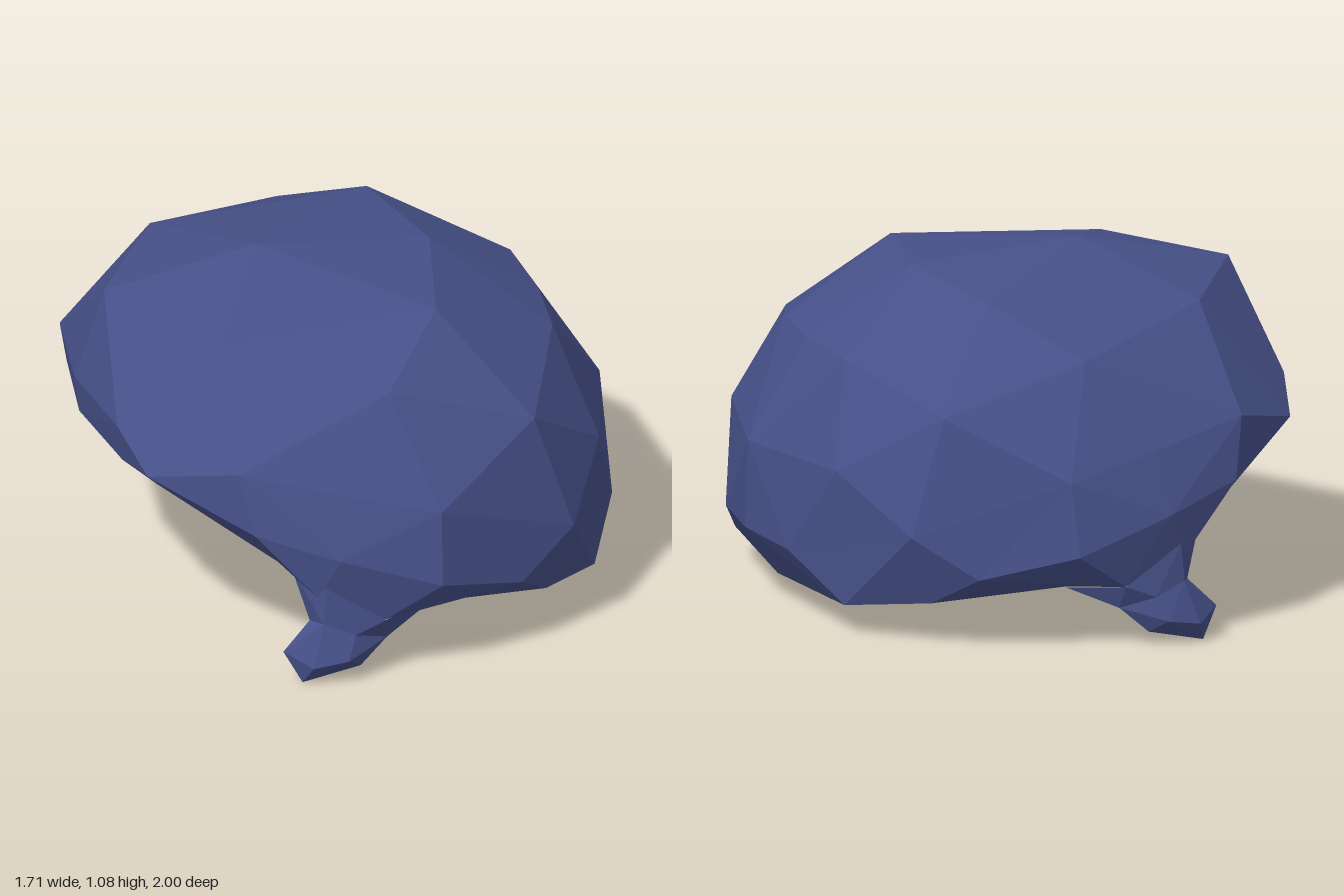
import * as THREE from 'three';

const navy = new THREE.MeshStandardMaterial({ color: 0x465088, flatShading: true });
navy.name = 'navy blue';

// Skin successive cross-sections; every quad is split along its outward diagonal,
// and the same faces are repeated on the other side of z = 0.
function loft(rings) {
  const out = [];
  const tri = (a, b, c) => {
    const n = b.clone().sub(a).cross(c.clone().sub(a));
    if (n.length() < 1e-6) return;
    out.push(...a, ...b, ...c);
    for (const p of [a, c, b]) out.push(p.x, p.y, -p.z);
  };
  const v = rings.map((ring) => ring.map((p) => new THREE.Vector3(...p)));
  for (let r = 0; r + 1 < v.length; r++) {
    for (let i = 0; i + 1 < v[r].length; i++) {
      const a = v[r][i], b = v[r][i + 1], c = v[r + 1][i + 1], d = v[r + 1][i];
      const n = b.clone().sub(a).cross(c.clone().sub(a));
      if (n.dot(d.clone().sub(a)) > 1e-7) {
        tri(a, b, d);
        tri(b, c, d);
      } else {
        tri(a, b, c);
        tri(a, c, d);
      }
    }
  }
  const geo = new THREE.BufferGeometry();
  geo.setAttribute('position', new THREE.Float32BufferAttribute(out, 3));
  geo.computeVertexNormals();
  return geo;
}

function part(name, geometry) {
  const mesh = new THREE.Mesh(geometry, navy);
  mesh.name = name;
  return mesh;
}

export function createModel() {
  const group = new THREE.Group();
  group.name = 'hairCap';

  // Half rings run from the brow (-x) round the side (+z) to the nape (+x)
  const rim = [[-0.84, 0.57, 0], [-0.79, 0.565, 0.37], [-0.72, 0.555, 0.55], [-0.4, 0.38, 0.83], [-0.29, 0.28, 0.92],
    [-0.08, 0.2, 0.95], [0.08, 0.185, 0.83], [0.49, 0.142, 0.73], [0.7, 0.1, 0.51], [0.74, 0.08, 0]];
  const widest = [[-0.855, 0.69, 0], [-0.81, 0.69, 0.38], [-0.76, 0.6, 0.58], [-0.48, 0.49, 0.86], [-0.23, 0.42, 0.96],
    [0.09, 0.32, 1], [0.38, 0.24, 0.87], [0.57, 0.37, 0.77], [0.81, 0.235, 0.29], [0.85, 0.24, 0]];

  // Shared corners of the faceted dome
  const brow = [-0.76, 0.98, 0], browSide = [-0.5, 0.97, 0.46], temple = [-0.52, 0.68, 0.8];
  const ear = [0.1, 0.55, 0.95], upperSide = [-0.02, 0.88, 0.74], backSide = [0.45, 0.74, 0.74];
  const crown = [-0.27, 1.085, 0], crownSide = [0.2, 1.02, 0.46], crownBack = [0.29, 1.045, 0];
  const middle = [brow, browSide, temple, temple, [-0.21, 0.615, 0.885], ear, ear, backSide, [0.72, 0.53, 0.49], [0.84, 0.52, 0]];
  const upper = [brow, browSide, browSide, browSide, upperSide, upperSide, backSide, backSide, [0.62, 0.835, 0.28], [0.64, 0.835, 0]];
  const top = [crown, crown, crown, crown, crownSide, crownSide, crownSide, crownSide, crownSide, crownBack];

  // Hollow underside: a lip at the nape, then facets rising to one point
  const nape = [...rim.slice(0, 8), [0.63, 0.09, 0.42], [0.65, 0.07, 0]];
  const lip = [...rim.slice(0, 7), [0.46, 0.15, 0.68], [0.54, 0.13, 0.33], [0.58, 0.13, 0]];
  const ceiling = rim.map(() => [0.08, 0.72, 0]);

  group.add(part('underside', loft([ceiling, lip, nape, rim])));
  group.add(part('outerShell', loft([rim, widest, middle, upper, top, rim.map(() => crown)])));

  // Sideburns: five-sided sections from tip to root
  const sections = [
    Array(5).fill([-0.345, 0.002, 0.93]),
    [[-0.4, 0.1, 0.9], [-0.32, 0.065, 0.975], [-0.21, 0.085, 0.99], [-0.16, 0.045, 0.94], [-0.3, 0.06, 0.89]],
    [[-0.31, 0.19, 0.88], [-0.28, 0.2, 0.94], [-0.18, 0.16, 0.96], [-0.07, 0.125, 0.92], [-0.2, 0.14, 0.86]],
    [[-0.36, 0.36, 0.85], [-0.27, 0.32, 0.935], [-0.08, 0.2, 0.955], [0.08, 0.185, 0.84], [-0.1, 0.23, 0.77]],
  ].map((s) => [...s, s[0]]);
  group.add(part('sideburns', loft(sections)));

  return group;
}
